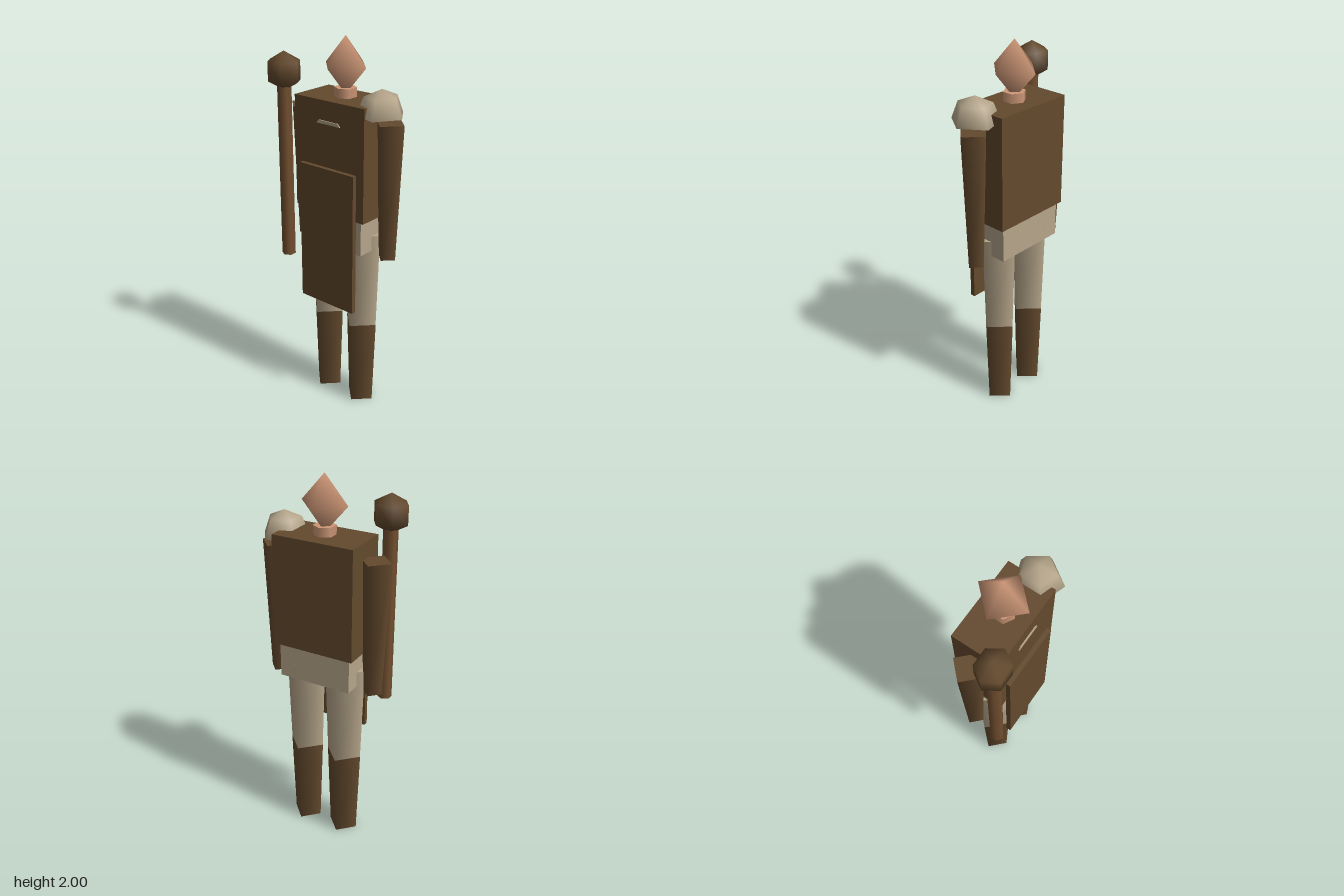
import * as THREE from 'three';

export function createModel() {
  const model = new THREE.Group();
  model.name = 'figure';

  const material = (name, color, side = THREE.FrontSide) => {
    const m = new THREE.MeshStandardMaterial({ color, side });
    m.name = name;
    return m;
  };
  const leather = material('brown leather', 0x63492d);
  const wood = material('wood', 0x735030);
  const cloth = material('beige cloth', 0xb5a58a, THREE.DoubleSide);
  const skin = material('skin', 0xcc9676);

  const add = (name, geometry, mat, x, y, z) => {
    const mesh = new THREE.Mesh(geometry, mat);
    mesh.name = name;
    mesh.position.set(x, y, z);
    model.add(mesh);
    return mesh;
  };
  // Box given by its min and max corners
  const box = (name, mat, [x0, y0, z0], [x1, y1, z1]) =>
    add(name, new THREE.BoxGeometry(x1 - x0, y1 - y0, z1 - z0), mat,
      (x0 + x1) / 2, (y0 + y1) / 2, (z0 + z1) / 2);
  // Upright tapered limb between two heights
  const limb = (name, mat, x, z, y0, y1, r0, r1, sides = 4) =>
    add(name, new THREE.CylinderGeometry(r1, r0, y1 - y0, sides), mat, x, (y0 + y1) / 2, z);

  const cx = 0.003, cz = -0.043;

  // Head and neck
  add('head', new THREE.SphereGeometry(1, 4, 2), skin, cx, 1.857, cz).scale.set(0.127, 0.143, 0.132);
  limb('neck', skin, cx, cz, 1.68, 1.75, 0.057, 0.057, 6);

  // Body
  box('torso', leather, [-0.219, 1.12, -0.171], [0.224, 1.703, 0.085]);
  box('pelvis', cloth, [-0.198, 0.936, -0.156], [0.203, 1.13, 0.075]);
  box('apron', leather, [-0.171, 0.608, 0.083], [0.178, 1.365, 0.109]);

  // Chest clasp: a thin tapered plate
  const plate = new THREE.Shape([[-0.074, -0.008], [0.074, -0.008], [0.06, 0.008], [-0.06, 0.008]]
    .map(([x, y]) => new THREE.Vector2(x, y)));
  add('chestClasp', new THREE.ExtrudeGeometry(plate, { depth: 0.009, bevelEnabled: false }),
    cloth, cx, 1.595, 0.082);

  // Arms and legs
  for (const [side, s] of [['left', 1], ['right', -1]]) {
    limb(side + 'Arm', leather, cx + s * 0.278, cz, 0.912, 1.62, 0.052, 0.083);
    limb(side + 'Thigh', cloth, cx + s * 0.116, cz, 0.487, 1.018, 0.099, 0.116);
    limb(side + 'Boot', leather, cx + s * 0.116, cz, 0, 0.487, 0.082, 0.1);
  }

  // Single shoulder guard on the left
  const guard = add('shoulderGuard',
    new THREE.SphereGeometry(1, 5, 2, 0, Math.PI * 2, 0, Math.PI / 2), cloth, 0.245, 1.655, -0.02);
  guard.scale.set(0.119, 0.128, 0.127);
  guard.rotation.y = Math.PI;

  // Club held at the right side
  limb('clubShaft', wood, -0.278, 0.097, 0.818, 1.78, 0.037, 0.037, 6);
  add('clubHead', new THREE.SphereGeometry(0.103, 6, 3), leather, -0.277, 1.813, 0.096)
    .scale.set(1, 0.95, 0.9);

  return model;
}
